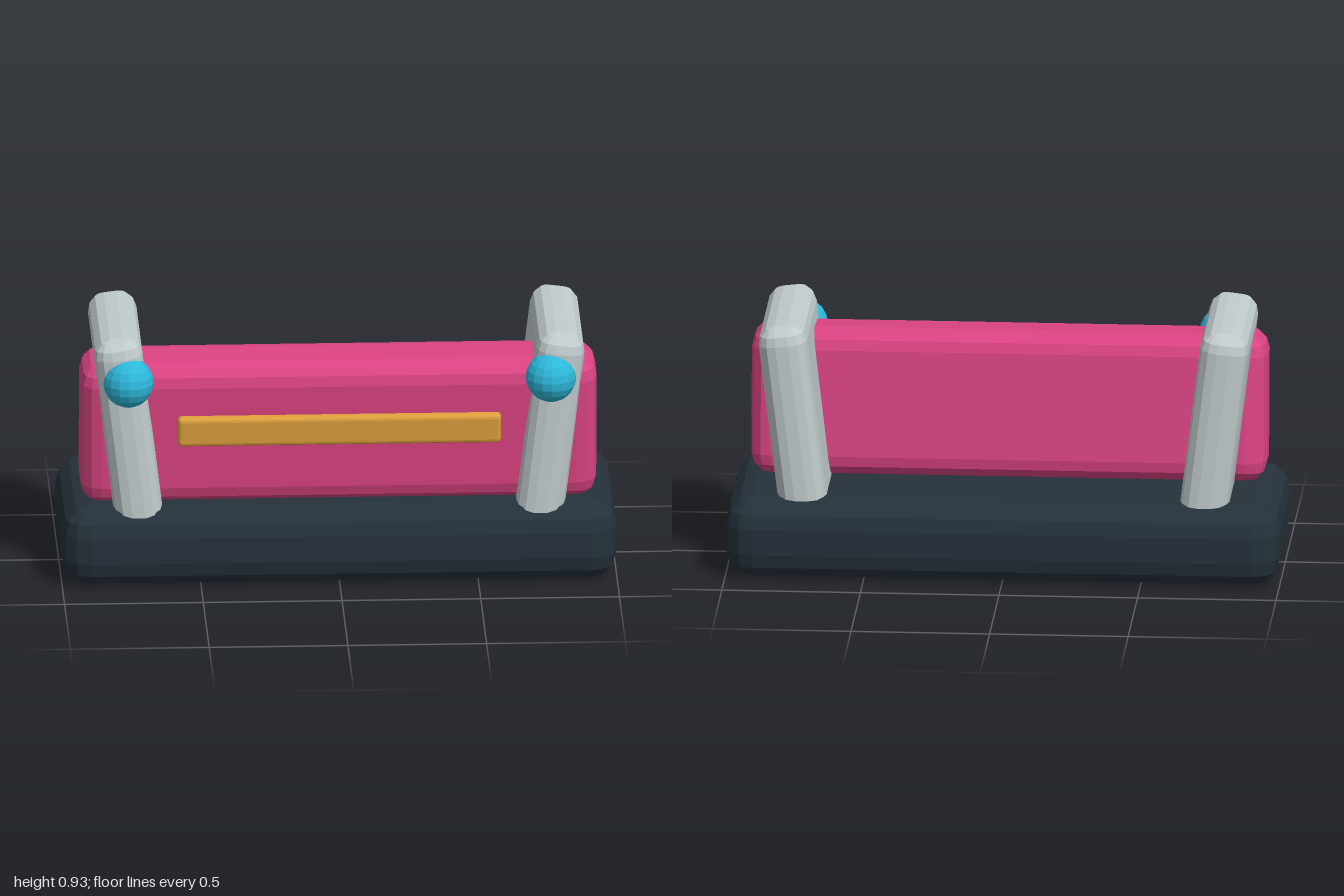
import * as THREE from 'three';

// Box with three-segment bevels on every edge: a grid wrapped round eight octants,
// whose first and last rows close the top and bottom.
function bevelBox(w, h, d, r) {
  const geo = new THREE.PlaneGeometry(1, 1, 16, 9);
  const pos = geo.attributes.position;
  const core = [w / 2 - r, h / 2 - r, d / 2 - r];
  const step = Math.PI / 6;
  for (let row = 0; row <= 9; row++) {
    for (let col = 0; col <= 16; col++) {
      const i = row * 17 + col;
      const up = row < 5 ? 1 : -1;
      if (row === 0 || row === 9) {
        pos.setXYZ(i, 0, up * h / 2, 0);
        continue;
      }
      const lat = (up > 0 ? 4 - row : 5 - row) * step;
      const c = col % 16, quad = Math.floor(c / 4);
      const lon = quad * Math.PI / 2 + (c % 4) * step;
      const sx = quad === 0 || quad === 1 ? 1 : -1;
      const sz = quad === 0 || quad === 3 ? 1 : -1;
      pos.setXYZ(i,
        sx * core[0] + r * Math.cos(lat) * Math.sin(lon),
        up * core[1] + r * Math.sin(lat),
        sz * core[2] + r * Math.cos(lat) * Math.cos(lon));
    }
  }
  geo.computeVertexNormals();
  return geo;
}

function material(name, color) {
  const m = new THREE.MeshStandardMaterial({ color, flatShading: true });
  m.name = name;
  return m;
}

function part(parent, name, geo, mat, x, y, z) {
  const mesh = new THREE.Mesh(geo, mat);
  mesh.name = name;
  mesh.position.set(x, y, z);
  parent.add(mesh);
  return mesh;
}

export function createModel() {
  const model = new THREE.Group();
  model.name = 'barrier';
  const slate = material('dark slate', 0x25313a);
  const grey = material('pale grey', 0xc0cacc);
  const pink = material('pink', 0xdb4482);
  const blue = material('sky blue', 0x2db8da);
  const gold = material('gold', 0xdda03c);

  // Heavy base
  part(model, 'base', bevelBox(2, 0.295, 0.75, 0.1), slate, 0, 0.1475, -0.015);

  // Panel leaning forward, with a raised strip on its face
  const leaning = new THREE.Group();
  leaning.name = 'leaningPanel';
  leaning.position.set(0, 0.555, 0.12);
  leaning.rotation.x = 0.085;
  model.add(leaning);
  part(leaning, 'panel', bevelBox(1.86, 0.54, 0.282, 0.075), pink, 0, 0, 0);
  part(leaning, 'strip', bevelBox(1.165, 0.11, 0.05, 0.015), gold, 0, 0.033, 0.148);

  // Splayed end supports with round lamps
  for (const side of [1, -1]) {
    const label = side > 0 ? 'left' : 'right';
    const support = part(model, label + 'Support', bevelBox(0.176, 0.78, 0.65, 0.065), grey,
      side * 0.757, 0.54, 0.003);
    support.rotation.z = -side * 0.122;
    part(model, label + 'Lamp', new THREE.SphereGeometry(0.092, 16, 10), blue,
      side * 0.762, 0.773, 0.299);
  }
  return model;
}
